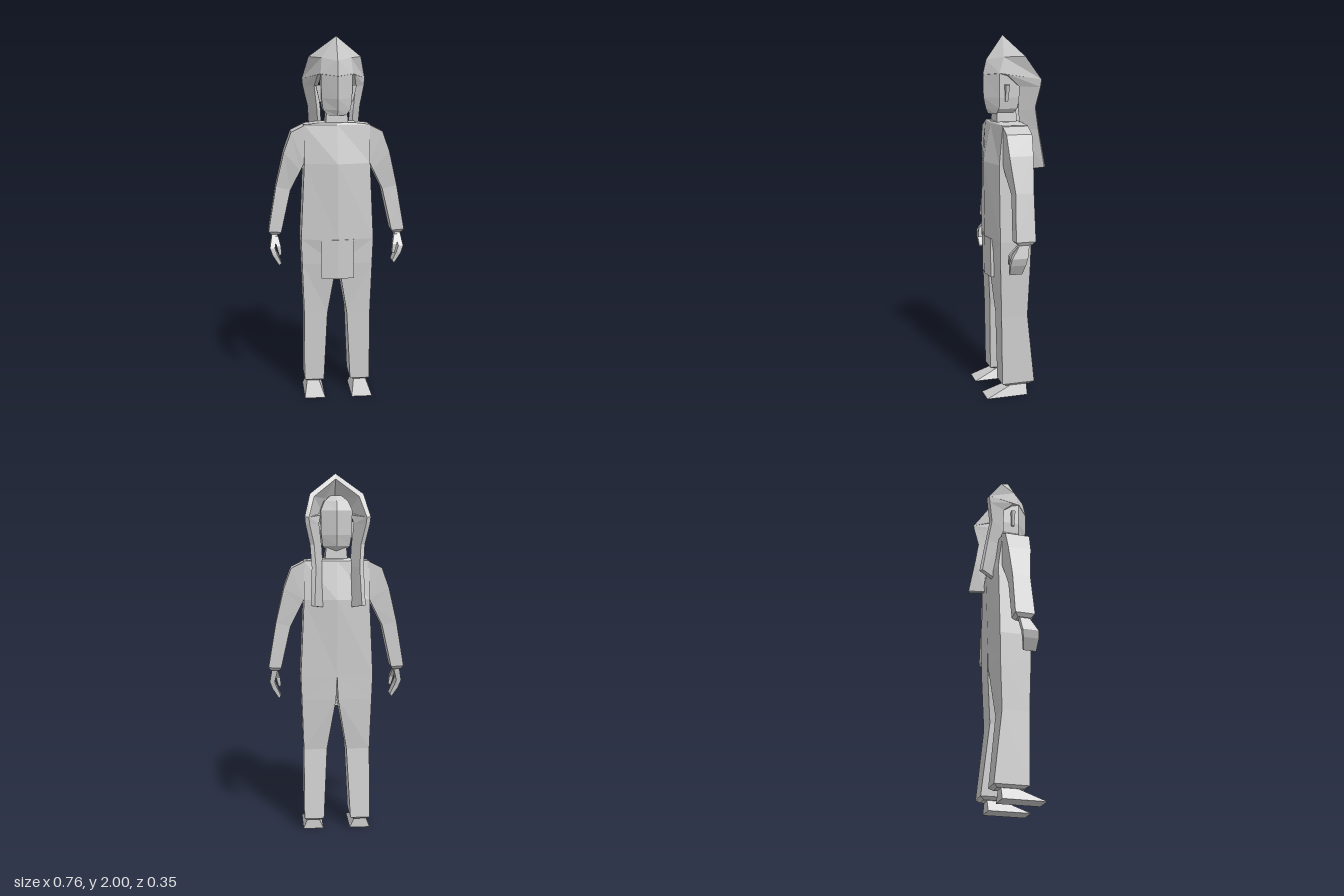
import * as THREE from 'three';

const material = new THREE.MeshStandardMaterial({ color: 0xcccccc, flatShading: true });

// Closed faceted solid through matching rings of [x, y, z] points.
function loft(rings) {
  const tris = [];
  const n = rings[0].length;
  for (let i = 0; i + 1 < rings.length; i++) {
    for (let j = 0; j < n; j++) {
      const k = (j + 1) % n, a = rings[i], b = rings[i + 1];
      tris.push([a[j], a[k], b[k]], [a[j], b[k], b[j]]);
    }
  }
  const first = rings[0], last = rings[rings.length - 1];
  for (let j = 1; j + 1 < n; j++) {
    tris.push([first[0], first[j + 1], first[j]], [last[0], last[j], last[j + 1]]);
  }
  // The signed volume tells whether the faces point outwards.
  const vec = (p) => new THREE.Vector3(...p);
  const volume = tris.reduce((s, [a, b, c]) => s + vec(a).dot(vec(b).cross(vec(c))), 0);
  const points = tris.flatMap(([a, b, c]) => (volume < 0 ? [a, c, b] : [a, b, c]));
  const geometry = new THREE.BufferGeometry();
  geometry.setAttribute('position', new THREE.Float32BufferAttribute(points.flat(), 3));
  geometry.computeVertexNormals();
  return geometry;
}

// Six-sided ring with a centre ridge in front and behind.
const ridged = ([y, w, front, ridge, back, spine]) => [
  [w, y, front], [0, y, ridge], [-w, y, front], [-w, y, back], [0, y, spine], [w, y, back],
];

// Four-sided ring: inner and outer edge in x, front and back in z.
const box = ([y, x0, x1, front, back]) => [
  [x1, y, front], [x0, y, front], [x0, y, back], [x1, y, back],
];

// Four-sided ring across a limb whose outer and inner edges differ in height.
const limb = ([xo, yo, xi, yi, front, back]) => [
  [xo, yo, front], [xi, yi, front], [xi, yi, back], [xo, yo, back],
];

export function createModel() {
  const model = new THREE.Group();

  function add(name, rings) {
    const mesh = new THREE.Mesh(loft(rings), material);
    mesh.name = name;
    model.add(mesh);
  }
  function addPair(name, rings) {
    add(name + 'Left', rings);
    add(name + 'Right', rings.map((r) => r.map(([x, y, z]) => [-x, y, z])));
  }

  // Robe body
  add('torso', [
    [0.9, 0.2, 0.1, 0.135, -0.075, -0.09],
    [1.32, 0.18, 0.1, 0.14, -0.08, -0.105],
    [1.53, 0.18, 0.08, 0.1, -0.055, -0.065],
    [1.54, 0.09, 0.08, 0.095, -0.045, -0.055],
  ].map(ridged));

  // Folded apron panel
  const apron = (y, z) => [
    [0.09, y, z - 0.012], [0, y, z], [-0.09, y, z - 0.012],
    [-0.09, y, z - 0.03], [0, y, z - 0.018], [0.09, y, z - 0.03],
  ];
  add('apron', [apron(0.68, 0.136), apron(0.9, 0.138)]);

  // Trouser legs, meeting at the crotch
  addPair('leg', [
    [[0.2, 0.9, 0.1], [0, 0.9, 0.135], [0, 0.9, -0.09], [0.2, 0.9, -0.075]],
    [[0.195, 0.76, 0.098], [0.006, 0.76, 0.115], [0.006, 0.76, -0.088], [0.195, 0.76, -0.072]],
    box([0.47, 0.055, 0.185, 0.09, -0.06]),
    box([0.075, 0.075, 0.185, 0.085, -0.102]),
    box([0.06, 0.095, 0.17, 0.06, -0.08]),
  ]);

  // Wedge feet
  addPair('foot', [
    box([0, 0.075, 0.19, 0.175, -0.06]),
    box([0.065, 0.105, 0.165, 0.02, -0.06]),
  ]);

  // Sleeves
  addPair('sleeve', [
    [0.17, 1.53, 0.17, 1.32, 0.08, -0.06],
    [0.25, 1.49, 0.18, 1.32, 0.08, -0.06],
    [0.29, 1.38, 0.2, 1.28, 0.075, -0.055],
    [0.335, 1.19, 0.255, 1.17, 0.055, -0.045],
    [0.378, 0.94, 0.308, 0.935, 0.065, -0.043],
    [0.365, 0.92, 0.318, 0.918, 0.045, -0.025],
  ].map(limb));

  // Curled hands with thumbs
  addPair('hand', [
    [0.358, 0.93, 0.325, 0.93, 0.035, -0.015],
    [0.372, 0.85, 0.345, 0.85, 0.085, -0.002],
    [0.358, 0.81, 0.335, 0.82, 0.09, 0.005],
    [0.322, 0.752, 0.31, 0.765, 0.085, 0.015],
  ].map(limb));
  addPair('thumb', [
    [0.35, 0.91, 0.325, 0.91, 0.05, 0.015],
    [0.335, 0.86, 0.312, 0.86, 0.088, 0.055],
    [0.322, 0.81, 0.308, 0.815, 0.09, 0.06],
  ].map(limb));

  // Neck and ridged head
  add('neck', [box([1.5, -0.065, 0.065, 0.08, -0.035]), box([1.61, -0.055, 0.055, 0.075, -0.03])]);
  add('head', [
    [1.58, 0.05, 0.08, 0.112, -0.01, -0.03],
    [1.61, 0.075, 0.07, 0.125, -0.03, -0.06],
    [1.67, 0.083, 0.07, 0.138, -0.045, -0.075],
    [1.8, 0.086, 0.07, 0.138, -0.05, -0.08],
    [1.85, 0.065, 0.055, 0.11, -0.035, -0.06],
    [1.88, 0.03, 0.03, 0.06, -0.01, -0.02],
  ].map(ridged));
  addPair('ear', [
    box([1.65, 0.075, 0.092, 0.04, 0.025]),
    box([1.74, 0.075, 0.112, 0.042, 0.02]),
  ]);

  // Peaked hood, open behind, as two thick mirrored shells
  addPair('hood', [
    [[0, 2, 0.03], [0, 2, 0.03], [0, 2, 0.03], [0, 1.97, 0.01], [0, 1.97, 0.01], [0, 1.97, 0.01]],
    [[0, 1.87, 0.122], [0.08, 1.885, 0.045], [0.145, 1.89, -0.055],
      [0.122, 1.875, -0.065], [0.06, 1.865, 0.03], [0, 1.85, 0.1]],
    [[0, 1.79, 0.141], [0.088, 1.8, 0.071], [0.177, 1.77, -0.135],
      [0.155, 1.765, -0.145], [0.07, 1.79, 0.055], [0, 1.78, 0.12]],
  ]);

  // Hanging lappets
  addPair('lappet', [
    [[0.1, 1.8, 0.04], [0.177, 1.77, -0.135], [0.155, 1.765, -0.145], [0.08, 1.79, 0.03]],
    [[0.115, 1.73, -0.03], [0.173, 1.73, -0.13], [0.151, 1.73, -0.14], [0.095, 1.73, -0.04]],
    [[0.1, 1.6, -0.028], [0.148, 1.62, -0.11], [0.126, 1.62, -0.12], [0.08, 1.6, -0.038]],
    [[0.095, 1.5, -0.045], [0.14, 1.5, -0.13], [0.118, 1.5, -0.14], [0.075, 1.5, -0.055]],
    [[0.097, 1.28, -0.08], [0.148, 1.295, -0.163], [0.127, 1.295, -0.176], [0.075, 1.28, -0.09]],
  ]);

  return model;
}
